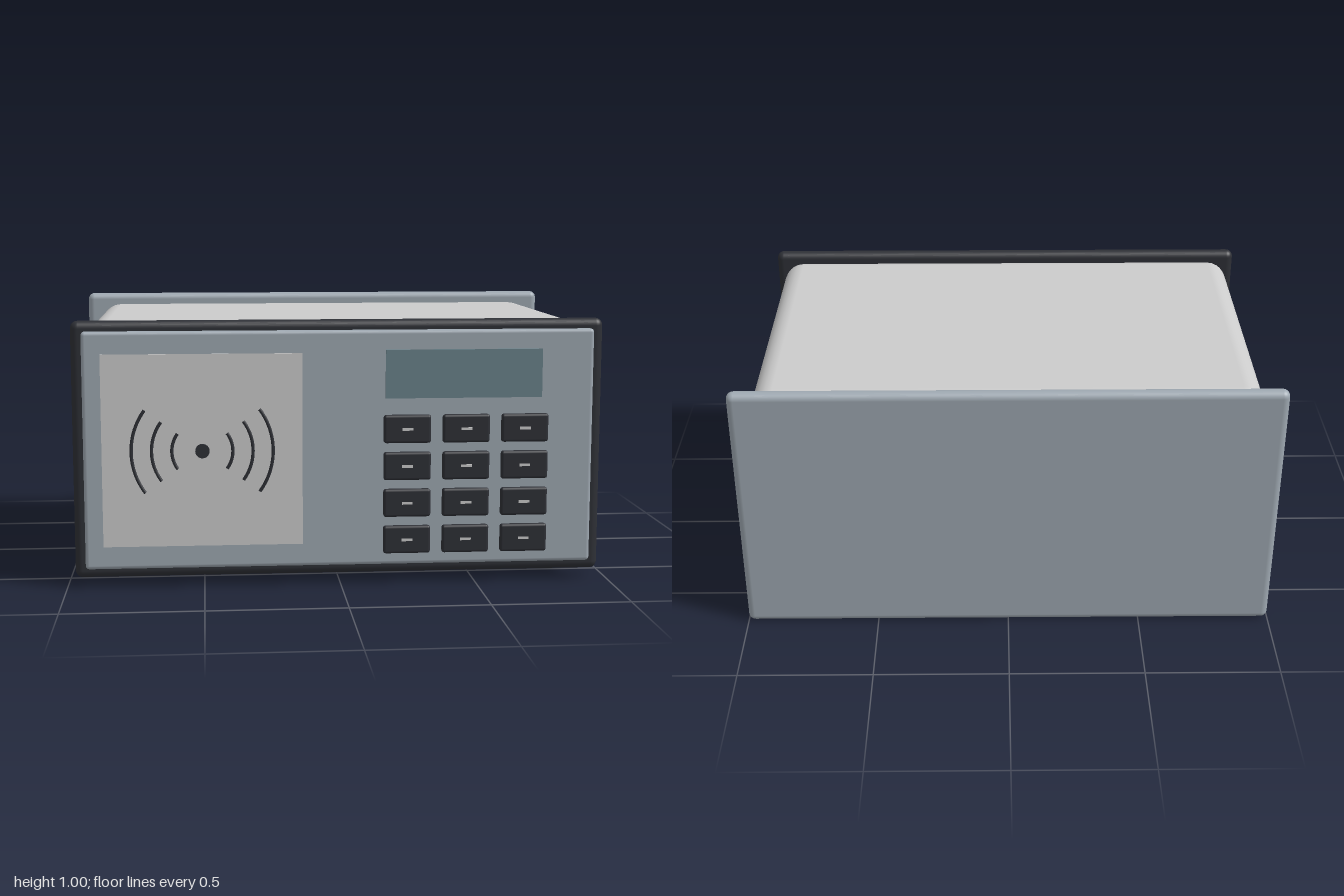
import * as THREE from 'three';
import { RoundedBoxGeometry } from 'three/addons/geometries/RoundedBoxGeometry.js';

const mat = (color) => new THREE.MeshStandardMaterial({ color });

export function createModel() {
  const model = new THREE.Group();
  const grey = mat(0xcccccc), steel = mat(0x9fa9b2), dark = mat(0x2e3036), glass = mat(0x6a838b);

  const add = (name, geometry, material, parent = model) => {
    const mesh = new THREE.Mesh(geometry, material);
    mesh.name = name;
    parent.add(mesh);
    return mesh;
  };
  // Box given by its limits; a radius rounds the edges
  const box = (name, material, [x0, x1], [y0, y1], [z0, z1], radius = 0, segments = 3, parent = model) => {
    const size = [x1 - x0, y1 - y0, z1 - z0];
    const geometry = radius
      ? new RoundedBoxGeometry(...size, segments, radius)
      : new THREE.BoxGeometry(...size);
    const mesh = add(name, geometry, material, parent);
    mesh.position.set((x0 + x1) / 2, (y0 + y1) / 2, (z0 + z1) / 2);
    return mesh;
  };
  const group = (name) => {
    const g = new THREE.Group();
    g.name = name;
    model.add(g);
    return g;
  };

  // Housing and its plates
  box('housing', grey, [-0.932, 0.932], [0.05, 0.958], [-0.63, 0.58], 0.08, 3);
  box('backPlate', steel, [-1, 1], [0, 1], [-0.683, -0.629], 0.026, 4);
  box('bezel', dark, [-0.972, 0.972], [0.032, 0.974], [0.581, 0.637], 0.027, 4);
  box('frontPanel', steel, [-0.932, 0.932], [0.07, 0.938], [0.63, 0.666], 0.014, 3);

  // Card reader with a dot and three pairs of wave arcs
  box('readerPlate', grey, [-0.865, -0.14], [0.155, 0.857], [0.655, 0.671]);
  const waves = group('waveSymbol');
  waves.position.set(-0.503, 0.505, 0.674);
  const dot = add('waveDot', new THREE.CylinderGeometry(0.026, 0.026, 0.01, 24), dark, waves);
  dot.rotation.x = Math.PI / 2;
  const half = 0.63;
  for (const radius of [0.11, 0.183, 0.256]) {
    for (const turn of [0, Math.PI]) {
      const arc = add('waveArc', new THREE.TorusGeometry(radius, 0.006, 8, 24, 2 * half), dark, waves);
      arc.rotation.z = turn - half;
    }
  }

  // Display
  box('display', glass, [0.163, 0.738], [0.69, 0.867], [0.655, 0.678]);

  // Keypad, four rows of three keys with a small mark on each
  const keypad = group('keypad');
  for (let row = 0; row < 4; row++) {
    for (let col = 0; col < 3; col++) {
      const x = 0.243 + col * 0.217, y = 0.577 - row * 0.137;
      box('key', dark, [x - 0.087, x + 0.087], [y - 0.052, y + 0.052], [0.658, 0.684], 0.01, 2, keypad);
      box('keyMark', grey, [x - 0.02, x + 0.02], [y - 0.005, y + 0.005], [0.68, 0.686], 0, 0, keypad);
    }
  }

  // Vent slots on the left side
  const vents = group('sideVents');
  for (const y of [0.322, 0.449, 0.576]) {
    box('ventSlot', dark, [0.92, 0.942], [y - 0.014, y + 0.014], [-0.41, -0.046], 0, 0, vents);
  }

  return model;
}
